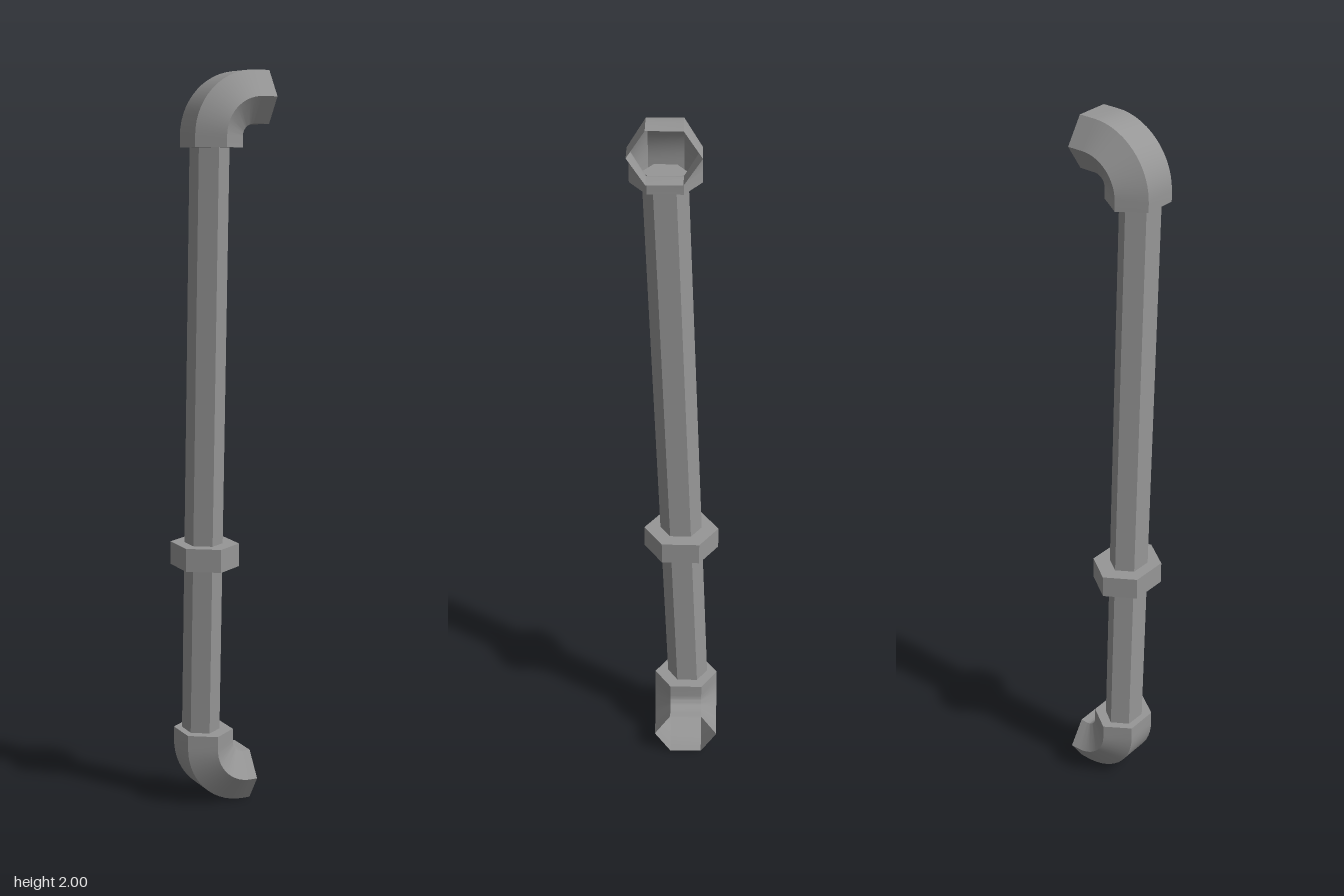
import * as THREE from 'three';
import { toCreasedNormals } from 'three/addons/utils/BufferGeometryUtils.js';

const COLOR = 0x969696;
const material = new THREE.MeshStandardMaterial({ color: COLOR, side: THREE.DoubleSide });
const flat = new THREE.MeshStandardMaterial({ color: COLOR, flatShading: true });
const AXIS_X = -0.034;

// The pipe leans gently towards the front as it rises
const leanZ = (y) => -0.001 + 0.038 * (y - 1);

// Hexagonal prism with corners towards +z and -z
function hexPrism(name, x, y0, y1, halfX, halfZ, lean) {
  const geo = new THREE.CylinderGeometry(1, 1, y1 - y0, 6);
  geo.scale(halfX / Math.cos(Math.PI / 6), 1, halfZ);
  geo.translate(x, (y0 + y1) / 2, 0);
  const pos = geo.attributes.position;
  for (let i = 0; i < pos.count; i++) {
    const y = lean ? pos.getY(i) : (y0 + y1) / 2;
    pos.setZ(i, pos.getZ(i) + leanZ(y));
  }
  const mesh = new THREE.Mesh(geo, flat);
  mesh.name = name;
  return mesh;
}

// Hexagonal elbow from the pipe axis to +x; side is 1 for the top, -1 for the bottom.
// The pipe end has a closed shoulder, the far end stays open.
function elbow(name, side, rimY, bendY, endX, z) {
  const radius = 0.101, steps = 14;
  const halfU = 0.069, halfW = 0.091;
  const sections = [{ a: 0, dx: 0, dy: rimY - bendY }];
  for (let i = 0; i <= steps; i++) sections.push({ a: (i / steps) * Math.PI / 2, dx: 0, dy: 0 });
  sections.push({ a: Math.PI / 2, dx: endX - AXIS_X - radius, dy: 0 });

  const points = [], index = [];
  const face = (a, b, c) => (side > 0 ? index.push(a, b, c) : index.push(a, c, b));
  for (const s of sections) {
    for (let j = 0; j < 6; j++) {
      const t = (j + 0.5) * Math.PI / 3;
      const r = radius + halfU * Math.cos(t) / Math.cos(Math.PI / 6);
      points.push(radius - r * Math.cos(s.a) + s.dx, bendY + side * r * Math.sin(s.a) + s.dy, halfW * Math.sin(t));
    }
  }
  for (let i = 0; i < sections.length - 1; i++) {
    for (let j = 0; j < 6; j++) {
      const a = i * 6 + j, b = i * 6 + (j + 1) % 6;
      face(a, b, a + 6);
      face(b, b + 6, a + 6);
    }
  }
  for (let j = 1; j < 5; j++) face(0, j + 1, j);

  const geo = new THREE.BufferGeometry();
  geo.setAttribute('position', new THREE.Float32BufferAttribute(points, 3));
  geo.setIndex(index);
  const mesh = new THREE.Mesh(toCreasedNormals(geo, Math.PI / 6), material);
  mesh.name = name;
  mesh.position.set(AXIS_X, 0, z);
  mesh.rotation.y = 0.02;
  return mesh;
}

export function createModel() {
  const group = new THREE.Group();
  group.name = 'drainPipe';
  group.add(
    hexPrism('pipe', -0.04, 0.19, 1.825, 0.044, 0.058, true),
    hexPrism('collar', -0.036, 0.676, 0.739, 0.079, 0.104, false),
    elbow('topElbow', 1, 1.8, 1.829, 0.112, 0.028),
    elbow('bottomElbow', -1, 0.208, 0.171, 0.088, -0.027),
  );
  return group;
}
